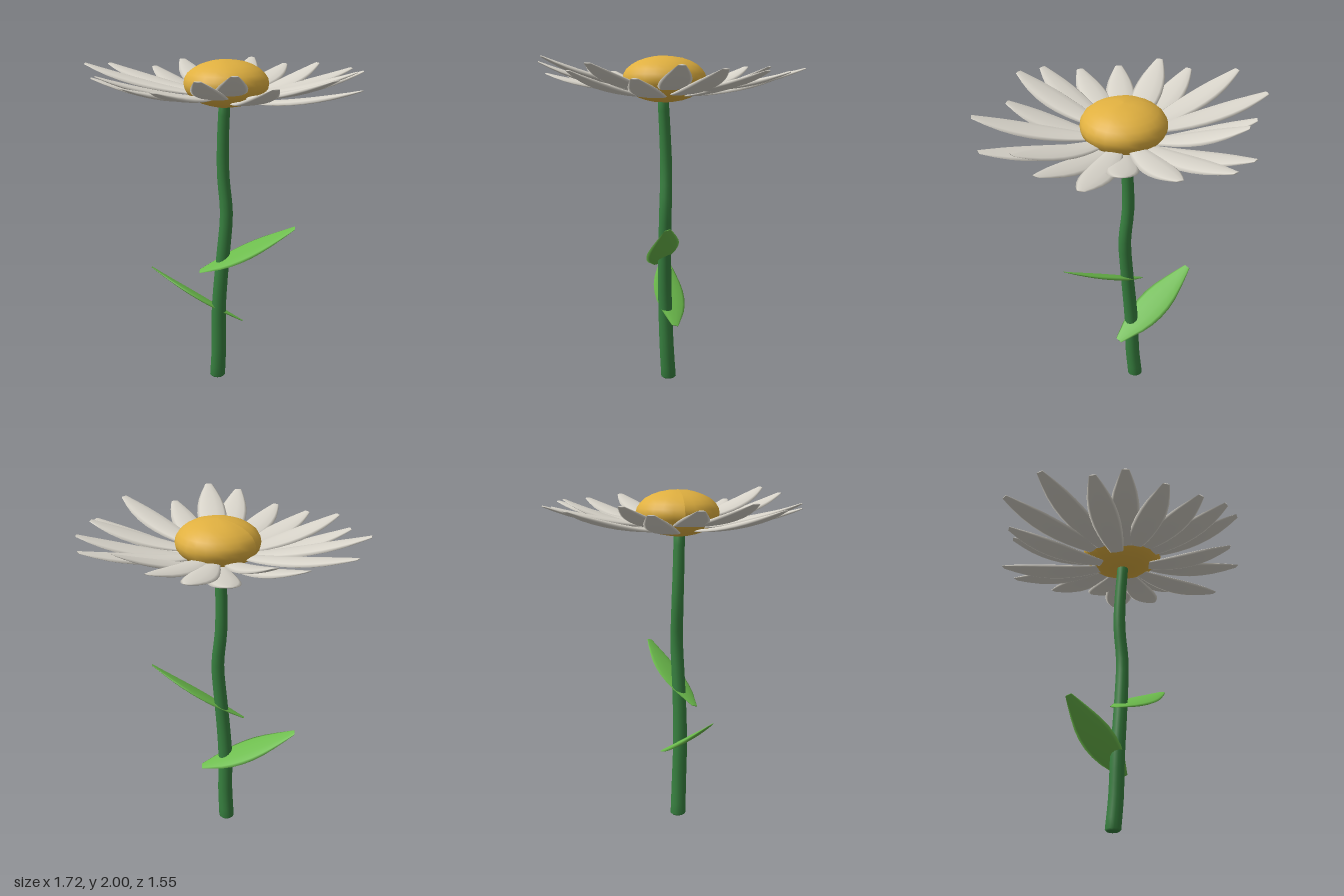
import * as THREE from 'three';

const V = (x, y, z) => new THREE.Vector3(x, y, z);
const mat = (name, color) => Object.assign(new THREE.MeshStandardMaterial({ color }), { name });

// Skin a list of elliptical sections: p = centre, s = side half-axis, n = upper half-axis, low = lower bulge factor
function loft(rows, sides) {
  const pos = [], idx = [];
  for (const { p, s, n, low = 1 } of rows) {
    for (let j = 0; j < sides; j++) {
      const a = (j / sides) * Math.PI * 2, k = Math.sin(a);
      const v = p.clone().addScaledVector(s, Math.cos(a)).addScaledVector(n, k < 0 ? k * low : k);
      pos.push(v.x, v.y, v.z);
    }
  }
  for (let i = 0; i < rows.length - 1; i++) {
    for (let j = 0; j < sides; j++) {
      const k = (j + 1) % sides, a = i * sides + j, b = i * sides + k;
      idx.push(a, b, a + sides, b, b + sides, a + sides);
    }
  }
  const g = new THREE.BufferGeometry();
  g.setAttribute('position', new THREE.Float32BufferAttribute(pos, 3));
  g.setIndex(idx);
  g.computeVertexNormals();
  return g;
}

// Petal or leaf: a thin lens swept from base to tip, with half-widths spaced evenly along it
function blade(base, tip, side, widths, thick, low, sag) {
  const d = tip.clone().sub(base).normalize();
  const s = side.clone().addScaledVector(d, -side.dot(d)).normalize();
  const n = d.clone().cross(s);
  const max = Math.max(...widths);
  const rows = widths.map((w, i) => {
    const t = i / (widths.length - 1);
    return {
      p: base.clone().lerp(tip, t).addScaledVector(n, -sag * 4 * t * (1 - t)),
      s: s.clone().multiplyScalar(w), n: n.clone().multiplyScalar(thick * w / max), low,
    };
  });
  // Close both ends
  const cap = (r) => ({ p: r.p, s: V(0, 0, 0), n: V(0, 0, 0) });
  return loft([cap(rows[0]), ...rows, cap(rows[rows.length - 1])], 10);
}

export function createModel() {
  const group = new THREE.Group();
  const petalMat = mat('petal white', 0xd8d4ca);
  const discMat = mat('disc gold', 0xe0b040);
  const stemMat = mat('stem green', 0x37803f);
  const leafMat = mat('leaf green', 0x6cbb4c);
  const add = (name, geo, m) => {
    const mesh = new THREE.Mesh(geo, m);
    mesh.name = name;
    group.add(mesh);
    return mesh;
  };

  // Gently wavering, tapering stem
  const path = new THREE.CatmullRomCurve3([
    V(-0.05, 0.01, 0.027), V(-0.035, 0.2, 0.035), V(-0.03, 0.45, 0.043), V(-0.015, 0.65, 0.043),
    V(0.003, 0.85, 0.038), V(0.018, 1.08, 0.03), V(-0.004, 1.3, 0.03), V(-0.003, 1.5, 0.036), V(0.015, 1.76, 0.045),
  ]);
  const rows = [];
  for (let i = 0; i <= 24; i++) {
    const t = i / 24, r = 0.047 - 0.013 * t;
    rows.push({ p: path.getPoint(t), s: V(r, 0, 0), n: V(0, 0, -r) });
  }
  const end = (p) => ({ p, s: V(0, 0, 0), n: V(0, 0, 0) });
  const foot = { ...rows[0], p: rows[0].p.clone().setY(0), s: V(0.036, 0, 0), n: V(0, 0, -0.036) };
  add('stem', loft([end(foot.p), foot, ...rows, end(rows[24].p)], 12), stemMat);

  // Two matching leaves, half a turn apart around the stem
  const leafWidths = [0.022, 0.05, 0.078, 0.095, 0.102, 0.1, 0.088, 0.068, 0.045, 0.02];
  const leafGeo = blade(V(-0.12, 0.71, 0.115), V(0.43, 1.02, -0.075), V(-0.03, 0.035, -0.09), leafWidths, 0.014, 1, 0.012);
  add('upperLeaf', leafGeo, leafMat);
  const lower = add('lowerLeaf', leafGeo, leafMat);
  lower.rotation.y = Math.PI;
  lower.position.set(-0.03, -0.335, 0.07);

  // Domed flower centre, slightly lumpy
  const disc = new THREE.SphereGeometry(1, 24, 14);
  const dp = disc.attributes.position;
  for (let i = 0; i < dp.count; i++) {
    const v = V().fromBufferAttribute(dp, i);
    const k = 1 + 0.012 * Math.sin(9 * v.x + 2) * Math.sin(8 * v.z) * Math.cos(7 * v.y);
    dp.setXYZ(i, v.x * k * 0.25, v.y * k * 0.138, v.z * k * 0.25);
  }
  disc.computeVertexNormals();
  add('flowerCentre', disc, discMat).position.set(0.02, 1.86, 0.035);

  // Petals: tip x, tip z, tip height, base height
  const petals = [
    [0.86, 0, 1.87, 1.76], [0.83, 0.26, 1.95, 1.79], [0.58, 0.45, 1.91, 1.76], [0.45, 0.65, 1.99, 1.81],
    [0.28, 0.73, 1.96, 1.79], [0.03, 0.77, 1.89, 1.8], [-0.21, 0.73, 1.89, 1.79], [-0.45, 0.65, 1.93, 1.78],
    [-0.59, 0.52, 1.9, 1.76], [-0.81, 0.3, 1.95, 1.79], [-0.86, 0, 1.92, 1.8], [-0.68, -0.23, 1.89, 1.75],
    [-0.56, -0.37, 1.93, 1.78], [-0.45, -0.66, 1.9, 1.76], [-0.28, -0.77, 1.92, 1.79], [0, -0.71, 1.9, 1.8],
    [0.28, -0.62, 1.93, 1.76], [0.5, -0.64, 1.91, 1.79], [0.67, -0.44, 1.92, 1.77], [0.73, -0.22, 1.94, 1.8],
  ];
  const petalWidths = [0.035, 0.052, 0.068, 0.08, 0.088, 0.09, 0.085, 0.072, 0.05, 0.022];
  petals.forEach(([x, z, y, y0], i) => {
    const out = V(x - 0.02, 0, z - 0.035).normalize();
    const base = V(0.02 + out.x * 0.13, y0, 0.035 + out.z * 0.13);
    const side = V(0, 1, 0).cross(out);
    add('petal' + (i + 1), blade(base, V(x, y, z), side, petalWidths, 0.022, 0.5, 0.03), petalMat);
  });

  return group;
}
